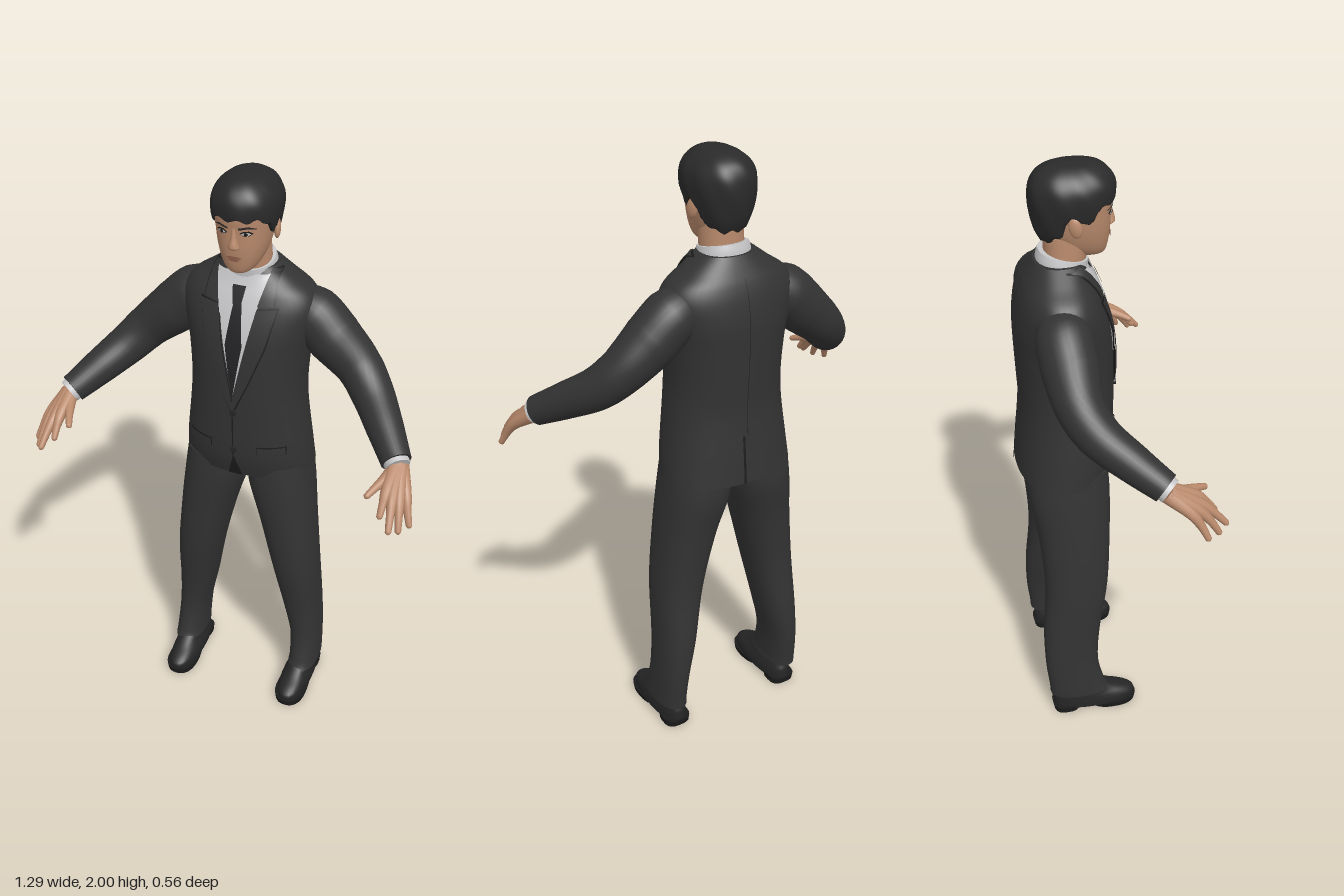
import * as THREE from 'three';

const mat = (name, color) => {
  const m = new THREE.MeshStandardMaterial({ color, side: THREE.DoubleSide });
  m.name = name;
  return m;
};
const V = (p) => new THREE.Vector3(...p);

// Linear look-up in a table of [key, value], keys ascending
function lookUp(table, k) {
  if (k <= table[0][0]) return table[0][1];
  for (let i = 1; i < table.length; i++) {
    const [k0, v0] = table[i - 1], [k1, v1] = table[i];
    if (k <= k1) return v0 + ((v1 - v0) * (k - k0)) / (k1 - k0);
  }
  return table[table.length - 1][1];
}

// Skin a list of closed rings and cap both ends
function skin(rings) {
  const n = rings[0].length, pos = [], idx = [];
  rings.forEach((r) => r.forEach((p) => pos.push(p.x, p.y, p.z)));
  for (let i = 0; i < rings.length - 1; i++) for (let j = 0; j < n; j++) {
    const a = i * n + j, b = i * n + (j + 1) % n;
    idx.push(a, b, a + n, b, b + n, a + n);
  }
  [rings[0], rings[rings.length - 1]].forEach((r, end) => {
    const s = pos.length / 3;
    const c = r.reduce((t, p) => t.add(p), new THREE.Vector3()).divideScalar(n);
    [...r, c].forEach((p) => pos.push(p.x, p.y, p.z));
    for (let j = 0; j < n; j++) {
      const k = (j + 1) % n;
      idx.push(s + n, s + (end ? j : k), s + (end ? k : j));
    }
  });
  return indexed(pos, idx);
}
function indexed(pos, idx) {
  const g = new THREE.BufferGeometry();
  g.setAttribute('position', new THREE.Float32BufferAttribute(pos, 3));
  g.setIndex(idx);
  g.computeVertexNormals();
  return g;
}

// Smoothly resample cross-sections [y, centreX, halfX, zFront, zBack]
function sample(secs, steps) {
  const curves = [0, 1, 2, 3, 4].map((c) => new THREE.SplineCurve(secs.map((s, i) => new THREE.Vector2(i, s[c]))));
  const rows = [];
  for (let i = 0; i <= steps; i++) rows.push(curves.map((c) => c.getPoint(i / steps).y));
  return rows;
}
// Stack of superellipses along y; move() may adjust each point
function loft(secs, p = 2.2, steps = 36, sides = 36, move = null) {
  return skin(sample(secs, steps).map(([y, cx, hx, zf, zb]) => Array.from({ length: sides }, (_, j) => {
    const a = (j / sides) * Math.PI * 2, c = Math.cos(a), s = -Math.sin(a);
    const f = (v) => Math.sign(v) * Math.abs(v) ** (2 / p);
    const q = new THREE.Vector3(cx + hx * f(c), y, (zf + zb) / 2 + ((zf - zb) / 2) * f(s));
    if (move) move(q);
    return q;
  })));
}
// Depth of a lofted surface at (x, y); dir is 1 for front, -1 for back
function surface(secs, p, dir = 1) {
  const rows = sample(secs, 60);
  return (x, y) => {
    const at = (c) => lookUp(rows.map((r) => [r[0], r[c]]), y);
    const k = Math.max(0, 1 - Math.abs(x / at(2)) ** p) ** (1 / p);
    return (at(3) + at(4)) / 2 + dir * k * (at(3) - at(4)) / 2;
  };
}
// Thin sheet between two polylines of [x, y], draped over a surface
function patch(a, b, depth, off, rows = 16, cols = 8) {
  const pos = [], idx = [];
  const along = (l, t) => [0, 1].map((c) => lookUp(l.map((p, i) => [i / (l.length - 1), p[c]]), t));
  for (let i = 0; i <= rows; i++) {
    const p = along(a, i / rows), q = along(b, i / rows);
    for (let j = 0; j <= cols; j++) {
      const x = p[0] + (q[0] - p[0]) * j / cols, y = p[1] + (q[1] - p[1]) * j / cols;
      pos.push(x, y, depth(x, y) + off);
      if (i < rows && j < cols) {
        const s = i * (cols + 1) + j, u = s + cols + 1;
        idx.push(s, u, s + 1, s + 1, u, u + 1);
      }
    }
  }
  return indexed(pos, idx);
}
// Tapered tube through points, one radius per point
function limb(pts, radii, steps = 24, sides = 18) {
  const curve = new THREE.CatmullRomCurve3(pts.map(V));
  const rad = radii.map((r, i) => [i / (radii.length - 1), r]);
  return skin(Array.from({ length: steps + 1 }, (_, i) => {
    const t = i / steps, o = curve.getPoint(t), T = curve.getTangent(t), r = lookUp(rad, t);
    const N = new THREE.Vector3(0, 1, 0).cross(T).normalize(), B = T.clone().cross(N);
    return Array.from({ length: sides }, (_, j) => {
      const a = (j / sides) * Math.PI * 2;
      return o.clone().addScaledVector(N, r * Math.cos(a)).addScaledVector(B, r * Math.sin(a));
    });
  }));
}
function mirrored(g) {
  const m = g.clone().scale(-1, 1, 1), ix = m.index.array;
  for (let i = 0; i < ix.length; i += 3) [ix[i], ix[i + 1]] = [ix[i + 1], ix[i]];
  m.computeVertexNormals();
  return m;
}

export function createModel() {
  const root = new THREE.Group();
  const suit = mat('suit cloth', 0x333333), seam = mat('seam shadow', 0x1c1c1c), hair = mat('hair', 0x2a2a2a);
  const skinTone = mat('skin', 0xb98a6c), shirt = mat('shirt', 0xc6c6c8), tie = mat('tie', 0x232326);
  const leather = mat('shoe leather', 0x262626), lip = mat('lips', 0x96644f), white = mat('eye white', 0xcfc4bc);
  const add = (name, geo, m) => {
    const o = new THREE.Mesh(geo, m);
    o.name = name;
    root.add(o);
  };
  const pair = (name, geo, m) => {
    add(name + 'Left', geo, m);
    add(name + 'Right', mirrored(geo), m);
  };

  // Jacket body
  const body = [[0.965, 0, 0.222, 0.025, -0.272], [1.05, 0, 0.214, 0.045, -0.265], [1.2, 0, 0.196, 0.05, -0.252],
    [1.3, 0, 0.19, 0.05, -0.255], [1.42, 0, 0.198, 0.045, -0.26], [1.5, 0, 0.213, 0.033, -0.26],
    [1.57, 0, 0.222, 0.012, -0.25], [1.62, 0, 0.2, -0.008, -0.235], [1.66, 0, 0.145, -0.026, -0.215],
    [1.7, 0, 0.092, -0.04, -0.192]];
  add('jacketBody', loft(body, 2.3, 54, 48), suit);
  const front = surface(body, 2.3), back = surface(body, 2.3, -1);

  // Shirt front, collar and tie
  const vEdge = [[0.085, 1.685], [0.055, 1.56], [0.035, 1.46], [0, 1.29]];
  const flip = (l) => l.map(([x, y]) => [-x, y]);
  add('shirtFront', patch(flip(vEdge), vEdge, front, 0.005, 24, 12), shirt);
  add('shirtCollar', loft([[1.65, 0, 0.088, -0.028, -0.188], [1.69, 0, 0.083, -0.026, -0.183], [1.715, 0, 0.077, -0.024, -0.176]],
    2.2, 8, 36, (q) => { q.y -= 0.22 * (q.z + 0.1); }), shirt);
  pair('collarPoint', patch([[0.012, 1.665], [0.048, 1.565]], [[0.085, 1.69], [0.055, 1.565]], front, 0.014), shirt);
  const blade = [[0.013, 1.605], [0.028, 1.47], [0, 1.28]], knot = [[0.022, 1.655], [0.014, 1.6]];
  add('tieBlade', patch(flip(blade), blade, front, 0.011), tie);
  add('tieKnot', patch(flip(knot), knot, front, 0.019), tie);

  // Lapels over a slightly wider dark edge
  const lapelIn = [[0.062, 1.59], [0.042, 1.48], [0, 1.27], [-0.004, 1.24]];
  const lapelOut = (e) => [[0.125 + e, 1.595 + e], [0.097 + e, 1.47], [0.045 + e, 1.33], [0.002 + e, 1.235 - e]];
  const gorgeIn = [[0.085, 1.7], [0.062, 1.6]];
  const gorgeOut = (e) => [[0.105 + e, 1.69], [0.112 + e, 1.605 - e]];
  pair('lapelEdge', patch(lapelIn, lapelOut(0.004), front, 0.007), seam);
  pair('lapel', patch(lapelIn, lapelOut(0), front, 0.012), suit);
  pair('jacketCollarEdge', patch(gorgeIn, gorgeOut(0.004), front, 0.008), seam);
  pair('jacketCollar', patch(gorgeIn, gorgeOut(0), front, 0.013), suit);

  // Front closure, cutaway, pockets, buttons and back vent
  const strip = (x0, x1, y0, y1, depth, off) => patch([[x0, y0], [x0, y1]], [[x1, y0], [x1, y1]], depth, off);
  add('frontClosure', strip(-0.004, 0, 1.24, 1.04, front, 0.003), seam);
  add('frontCutaway', patch([[-0.002, 1.05], [-0.025, 0.966]], [[0.002, 1.05], [0.025, 0.966]], front, 0.003), seam);
  pair('pocketFlapEdge', strip(0.078, 0.168, 1.102, 1.07, front, 0.003), seam);
  pair('pocketFlap', strip(0.08, 0.166, 1.1, 1.073, front, 0.007), suit);
  add('backVent', strip(0.012, 0.02, 1.13, 0.966, back, -0.004), seam);
  add('backSeam', strip(-0.001, 0.001, 1.64, 1.13, back, -0.002), seam);
  [1.23, 1.085].forEach((y) => {
    const b = new THREE.CylinderGeometry(0.011, 0.011, 0.008, 16).rotateX(Math.PI / 2);
    add('jacketButton', b.translate(0.004, y, front(0, y) + 0.012), leather);
  });

  // Sleeves and shirt cuffs
  pair('sleeve', limb([[0.13, 1.555, -0.13], [0.2, 1.53, -0.135], [0.27, 1.465, -0.13], [0.36, 1.385, -0.117], [0.42, 1.325, -0.075],
    [0.49, 1.265, 0.01], [0.555, 1.21, 0.095]], [0.07, 0.088, 0.088, 0.074, 0.068, 0.059, 0.048], 42, 28), suit);
  pair('shirtCuff', limb([[0.545, 1.218, 0.083], [0.563, 1.203, 0.106]], [0.041, 0.04], 4), shirt);

  // Hands: each finger runs from the wrist through its knuckle to the tip
  const fingers = {
    indexFinger: [[0.555, 1.205, 0.1], [0.554, 1.165, 0.192], [0.554, 1.137, 0.222], [0.553, 1.105, 0.248]],
    middleFinger: [[0.565, 1.203, 0.1], [0.576, 1.152, 0.197], [0.584, 1.115, 0.24], [0.59, 1.078, 0.275]],
    ringFinger: [[0.57, 1.2, 0.1], [0.595, 1.145, 0.186], [0.606, 1.105, 0.222], [0.614, 1.065, 0.247]],
    littleFinger: [[0.572, 1.197, 0.095], [0.61, 1.143, 0.163], [0.625, 1.103, 0.19], [0.638, 1.066, 0.208]],
    thumb: [[0.56, 1.2, 0.1], [0.538, 1.18, 0.155], [0.52, 1.17, 0.195], [0.503, 1.157, 0.23]],
  };
  for (const [name, pts] of Object.entries(fingers)) {
    const dir = V(pts[3]).sub(V(pts[2])).multiplyScalar(0.14);
    pair(name, limb([...pts, V(pts[3]).add(dir).toArray()], [0.025, 0.0175, 0.0125, 0.0095, 0.003], 24, 12), skinTone);
  }

  // Trousers
  pair('trouserLeg', loft([[0.085, 0.228, 0.053, 0.0, -0.212], [0.12, 0.228, 0.052, -0.018, -0.214], [0.22, 0.222, 0.053, -0.038, -0.224],
    [0.35, 0.205, 0.064, -0.03, -0.225], [0.55, 0.18, 0.08, 0.002, -0.212], [0.75, 0.147, 0.095, 0.015, -0.225],
    [0.9, 0.117, 0.109, 0.02, -0.248], [1.0, 0.105, 0.108, 0.015, -0.245]], 2.3, 44, 32), suit);

  // Shoes
  pair('shoeUpper', loft([[0.018, 0.22, 0.053, 0.093, -0.2], [0.04, 0.22, 0.053, 0.094, -0.2], [0.058, 0.221, 0.049, 0.07, -0.198],
    [0.078, 0.223, 0.043, 0.025, -0.19], [0.11, 0.226, 0.04, -0.03, -0.185]], 2.3, 16, 32), leather);
  pair('shoeSole', loft([[0.0, 0.22, 0.053, 0.096, -0.07], [0.022, 0.22, 0.057, 0.1, -0.085]], 2.4, 2, 32), seam);
  pair('shoeHeel', loft([[0.0, 0.222, 0.046, -0.11, -0.2], [0.024, 0.222, 0.048, -0.1, -0.205]], 3, 2, 32), seam);

  // Neck, head and ears
  add('neck', loft([[1.62, 0, 0.072, -0.04, -0.165], [1.7, 0, 0.07, -0.03, -0.16], [1.78, 0, 0.066, -0.01, -0.16]], 2.1, 8), skinTone);
  const head = [[1.706, 0, 0.02, 0.016, -0.04], [1.716, 0, 0.042, 0.028, -0.08], [1.745, 0, 0.062, 0.036, -0.12],
    [1.79, 0, 0.077, 0.042, -0.15], [1.85, 0, 0.087, 0.044, -0.17], [1.9, 0, 0.09, 0.046, -0.18],
    [1.95, 0, 0.08, 0.025, -0.165], [1.98, 0, 0.04, -0.01, -0.12]];
  add('head', loft(head, 2.3, 40, 36), skinTone);
  const face = surface(head, 2.3);
  add('nose', loft([[1.793, 0, 0.009, 0.045, 0.02], [1.799, 0, 0.019, 0.057, 0.02], [1.81, 0, 0.016, 0.059, 0.02],
    [1.835, 0, 0.01, 0.052, 0.02], [1.868, 0, 0.009, 0.044, 0.02]], 2, 16, 16), skinTone);
  pair('ear', new THREE.SphereGeometry(1, 16, 12).scale(0.011, 0.033, 0.02).rotateX(-0.2).rotateY(0.3).translate(0.092, 1.83, -0.078), skinTone);

  // Face details
  const lens = (cx, cy, w, h, off) => patch([[cx - w, cy], [cx - w * 0.4, cy + h], [cx + w * 0.4, cy + h], [cx + w, cy]],
    [[cx - w, cy], [cx - w * 0.4, cy - h], [cx + w * 0.4, cy - h], [cx + w, cy]], face, off, 12, 4);
  pair('eyeOutline', lens(0.038, 1.849, 0.019, 0.008, 0.002), seam);
  pair('eye', lens(0.038, 1.848, 0.015, 0.005, 0.0035), white);
  pair('iris', lens(0.038, 1.848, 0.0065, 0.0055, 0.005), seam);
  pair('eyebrow', patch([[0.016, 1.867], [0.045, 1.873], [0.065, 1.864]], [[0.016, 1.861], [0.045, 1.866], [0.065, 1.862]], face, 0.004), hair);
  add('upperLip', lens(0, 1.768, 0.027, 0.005, 0.004), lip);
  add('lowerLip', lens(0, 1.761, 0.021, 0.005, 0.005), lip);

  // Hair cap, cut off at a hairline that drops behind the ears
  const hairline = [[-0.16, 1.768], [-0.115, 1.8], [-0.098, 1.858], [-0.07, 1.865], [-0.055, 1.835], [-0.035, 1.835], [-0.01, 1.875], [0.03, 1.89]];
  add('hair', loft([[1.76, 0, 0.068, 0.0, -0.168], [1.8, 0, 0.086, 0.03, -0.187], [1.85, 0, 0.1, 0.05, -0.198],
    [1.9, 0, 0.106, 0.059, -0.202], [1.94, 0, 0.1, 0.056, -0.196], [1.972, 0, 0.078, 0.036, -0.175],
    [1.993, 0, 0.045, 0.002, -0.135], [2.0, 0, 0.008, -0.04, -0.085]], 2.2, 48, 64, (q) => {
    const a = Math.atan2(q.x, q.z + 0.07);
    q.y = Math.max(q.y, lookUp(hairline, q.z) + 0.006 * Math.sin(a * 13));
    const k = 1 + 0.01 * Math.sin(a * 9 + q.y * 40);
    q.x *= k;
    q.z = (q.z + 0.07) * k - 0.07;
  }), hair);

  return root;
}
